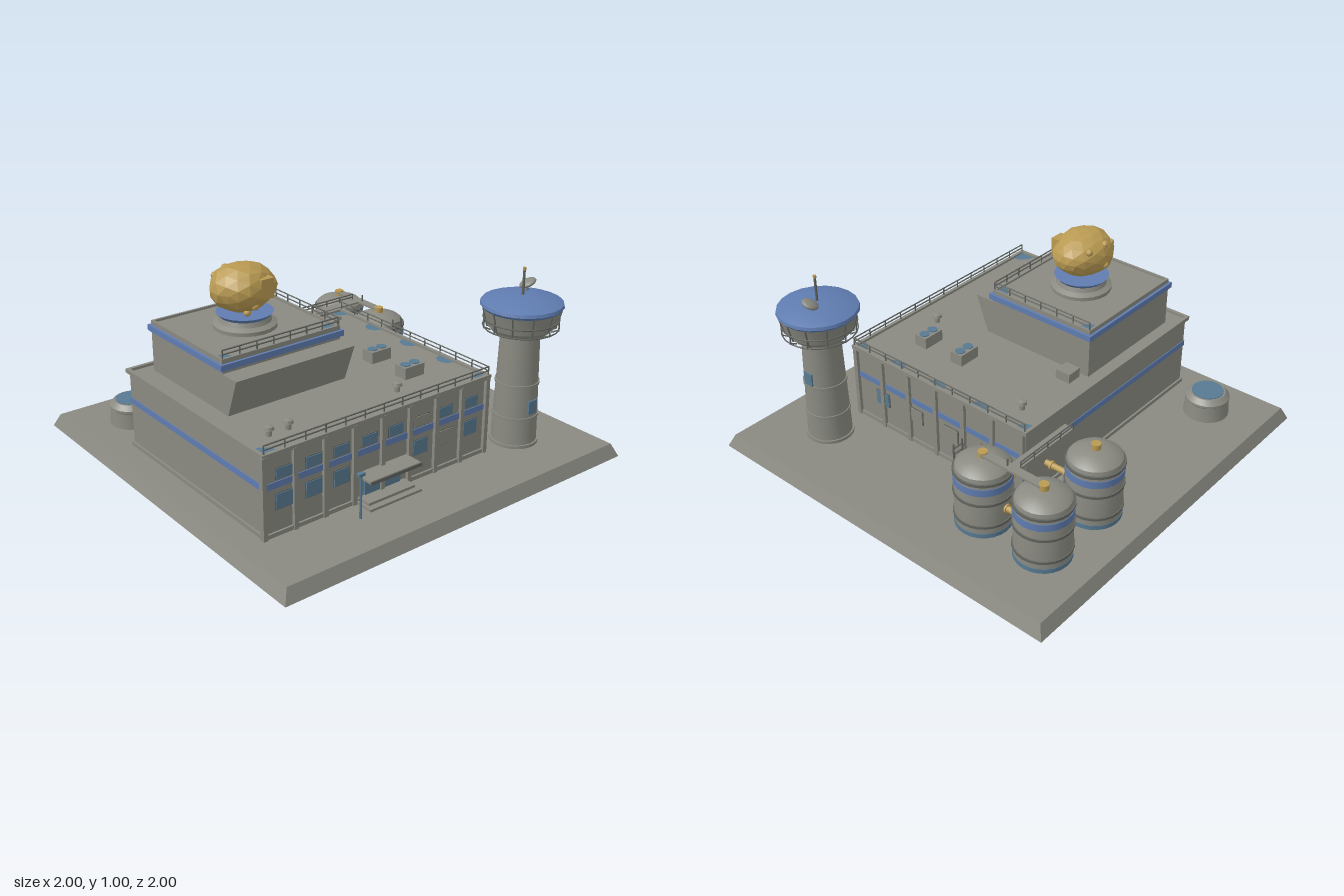
import * as THREE from 'three';
import { toCreasedNormals } from 'three/addons/utils/BufferGeometryUtils.js';

const mat = (name, color) => Object.assign(new THREE.MeshStandardMaterial({ color }), { name });

export function createModel() {
  const root = new THREE.Group();
  root.name = 'outpost';
  const concrete = mat('concrete', 0x8a8a82), trim = mat('dark trim', 0x62645f);
  const blue = mat('blue paint', 0x5f7cb0), glass = mat('blue glass', 0x587a92), gold = mat('gold', 0xb99a52);
  const PI = Math.PI;

  const add = (name, geo, material, x = 0, y = 0, z = 0, parent = root) => {
    const m = new THREE.Mesh(geo, material);
    m.name = name;
    m.position.set(x, y, z);
    parent.add(m);
    return m;
  };
  // box given by its minimum and maximum corners
  const box = (name, material, x0, x1, y0, y1, z0, z1, parent = root) =>
    add(name, new THREE.BoxGeometry(x1 - x0, y1 - y0, z1 - z0), material,
      (x0 + x1) / 2, (y0 + y1) / 2, (z0 + z1) / 2, parent);
  const lathe = (name, material, pts, x, z, parent = root, sides = 24) =>
    add(name, toCreasedNormals(new THREE.LatheGeometry(pts.map(p => new THREE.Vector2(...p)), sides), 0.6),
      material, x, 0, z, parent);
  // closed ring or drum between two heights
  const drum = (name, material, r0, r1, y0, y1, x, z, parent = root, sides = 24) =>
    add(name, new THREE.CylinderGeometry(r1, r0, y1 - y0, sides), material, x, (y0 + y1) / 2, z, parent);
  const rod = (name, material, a, b, r, parent = root, sides = 8) => {
    const p = new THREE.Vector3(...a), d = new THREE.Vector3(...b).sub(p);
    const m = add(name, new THREE.CylinderGeometry(r, r, d.length(), sides), material, 0, 0, 0, parent);
    m.position.copy(p).addScaledVector(d, 0.5);
    m.quaternion.setFromUnitVectors(new THREE.Vector3(0, 1, 0), d.normalize());
    return m;
  };
  // posts with two rails from a to b, standing on height y
  const railing = (name, a, b, y, h, n) => {
    const g = new THREE.Group();
    g.name = name;
    root.add(g);
    for (const k of [0.55, 1]) rod('rail', trim, [a[0], y + h * k, a[1]], [b[0], y + h * k, b[1]], 0.0035, g, 6);
    for (let i = 0; i <= n; i++) {
      const x = a[0] + (b[0] - a[0]) * i / n, z = a[1] + (b[1] - a[1]) * i / n;
      rod('railPost', trim, [x, y, z], [x, y + h, z], 0.0035, g, 6);
    }
  };
  const patch = (x, y, z, r, start, length) => {
    const m = add('roofPatch', new THREE.CircleGeometry(r, 12, start, length), glass, x, y, z);
    m.rotation.x = -PI / 2;
  };
  // low wall around a roof
  const parapet = (x0, x1, y0, y1, z0, z1, t, material) => {
    box('parapetFront', material, x0, x1, y0, y1, z1 - t, z1);
    box('parapetBack', material, x0, x1, y0, y1, z0, z0 + t);
    box('parapetRight', material, x0, x0 + t, y0, y1, z0 + t, z1 - t);
    box('parapetLeft', material, x1 - t, x1, y0, y1, z0 + t, z1 - t);
  };

  // ground slab with sloping sides
  const slab = new THREE.CylinderGeometry(0.97 * Math.SQRT2, Math.SQRT2, 0.065, 4, 1);
  slab.rotateY(PI / 4);
  add('groundSlab', toCreasedNormals(slab, 0.3), concrete, 0, 0.0325, 0);

  // main hall
  box('hallWalls', concrete, -0.84, 0.43, 0.065, 0.452, -0.44, 0.64);
  parapet(-0.853, 0.445, 0.445, 0.465, -0.455, 0.655, 0.018, concrete);
  box('hallStripe', blue, -0.844, 0.434, 0.29, 0.32, -0.444, 0.644);
  box('hallPlinth', concrete, -0.85, 0.44, 0.065, 0.085, -0.45, 0.65);
  for (let i = 0; i < 9; i++) {
    const x = -0.845 + i * 0.159;
    box('frontPilaster', concrete, x - 0.011, x + 0.011, 0.065, 0.452, 0.63, 0.657);
  }
  for (let i = 0; i < 7; i++) {
    const z = 0.635 - i * 0.177;
    box('sidePilaster', concrete, 0.42, 0.447, 0.065, 0.452, z - 0.011, z + 0.011);
  }
  // windows, some shuttered in grey
  [-0.74, -0.585, -0.435, -0.28, -0.13, 0.02, 0.17, 0.33].forEach((x, i) => {
    const rows = [[0.332, 0.38, i === 5], [0.19, 0.262, i === 6]];
    for (const [y0, y1, shut] of rows) {
      if (y0 < 0.2 && (i === 3 || i === 4)) continue;
      box('windowFrame', trim, x - 0.045, x + 0.045, y0 - 0.004, y1 + 0.004, 0.64, 0.644);
      box('frontWindow', shut ? concrete : glass, x - 0.041, x + 0.041, y0, y1, 0.64, 0.648);
    }
  });
  [0.465, 0.24, 0.01, -0.22].forEach((z, i) => {
    box('windowFrame', trim, 0.43, 0.434, 0.186, 0.266, z - 0.045, z + 0.045);
    box('sideWindow', i ? concrete : glass, 0.43, 0.438, 0.19, 0.262, z - 0.041, z + 0.041);
  });

  // entrance: doors, canopy, steps and lamp
  for (const x of [-0.262, -0.145]) box('door', glass, x - 0.045, x + 0.045, 0.085, 0.195, 0.64, 0.648);
  box('canopy', concrete, -0.355, -0.06, 0.2, 0.21, 0.64, 0.745);
  box('canopyEdge', trim, -0.355, -0.06, 0.197, 0.213, 0.741, 0.748);
  box('lowerStep', concrete, -0.355, -0.055, 0.065, 0.077, 0.64, 0.745);
  box('upperStep', concrete, -0.34, -0.07, 0.077, 0.09, 0.64, 0.715);
  rod('lampPost', glass, [-0.42, 0.065, 0.755], [-0.42, 0.28, 0.755], 0.006);
  box('lampHead', glass, -0.437, -0.403, 0.272, 0.286, 0.745, 0.765);

  // upper block with blue cornice and leaning front bay
  box('upperBlock', concrete, -0.742, -0.098, 0.45, 0.655, -0.383, 0.21);
  box('cornice', blue, -0.755, -0.085, 0.655, 0.683, -0.395, 0.222);
  box('upperRoof', concrete, -0.742, -0.098, 0.683, 0.694, -0.382, 0.209);
  parapet(-0.742, -0.098, 0.683, 0.705, -0.382, 0.209, 0.012, concrete);
  const bay = new THREE.Shape([[0.2, 0.452], [0.245, 0.452], [0.315, 0.638], [0.2, 0.638]].map(p => new THREE.Vector2(...p)));
  const bayGeo = new THREE.ExtrudeGeometry(bay, { depth: 0.645, bevelEnabled: false });
  bayGeo.rotateY(-PI / 2);
  add('leaningBay', bayGeo, concrete, -0.0975, 0, 0);

  // roof railings along the front and left edges
  railing('hallFrontRailing', [-0.84, 0.645], [0.435, 0.645], 0.46, 0.044, 12);
  railing('hallSideRailing', [0.435, 0.645], [0.435, -0.44], 0.46, 0.044, 10);
  railing('upperFrontRailing', [-0.735, 0.203], [-0.105, 0.203], 0.7, 0.044, 7);
  railing('upperSideRailing', [-0.105, 0.203], [-0.105, -0.375], 0.7, 0.044, 6);

  // roof patches
  patch(0.427, 0.4545, -0.437, 0.06, PI, PI / 2);
  for (const z of [-0.155, 0.11, 0.375]) patch(0.427, 0.4545, z, 0.05, PI / 2, PI);
  patch(0.427, 0.4545, 0.637, 0.055, PI / 2, PI / 2);
  patch(-0.835, 0.4545, 0.637, 0.075, 0, PI / 2);
  patch(-0.11, 0.6965, -0.37, 0.06, PI, PI / 2);
  patch(-0.11, 0.6965, 0.197, 0.06, PI / 2, PI / 2);
  patch(-0.73, 0.6965, 0.197, 0.06, 0, PI / 2);

  // roof equipment
  box('roofHatch', concrete, -0.075, 0.005, 0.45, 0.5, -0.35, -0.27);
  for (const z of [0.165, 0.4]) {
    box('coolingUnit', concrete, 0.107, 0.224, 0.45, 0.51, z - 0.036, z + 0.036);
    for (const x of [0.138, 0.193]) drum('coolingFan', glass, 0.025, 0.025, 0.51, 0.514, x, z, root, 16);
  }
  for (const [x, z] of [[0.3, -0.31], [-0.71, 0.5], [-0.61, 0.5], [0, 0.5]]) {
    drum('ventPipe', concrete, 0.014, 0.014, 0.45, 0.485, x, z, root, 12);
    lathe('ventCap', concrete, [[0, 0.48], [0.024, 0.48], [0.02, 0.495], [0, 0.502]], x, z, root, 12);
  }

  // pedestal and lumpy golden pod
  lathe('pedestal', concrete, [[0.15, 0.69], [0.15, 0.712], [0.125, 0.725], [0.115, 0.752], [0, 0.752]], -0.42, -0.085);
  drum('pedestalRing', blue, 0.115, 0.134, 0.745, 0.766, -0.42, -0.085);
  const podGeo = new THREE.IcosahedronGeometry(1, 2), pos = podGeo.attributes.position;
  for (let i = 0; i < pos.count; i++) {
    const v = new THREE.Vector3().fromBufferAttribute(pos, i);
    const k = 1 + 0.035 * Math.sin(5.1 * v.x + 2 * v.y) * Math.cos(4.3 * v.z - 3 * v.y);
    const narrow = 1 - 0.12 * v.x; // blunt on one end, narrower on the other
    pos.setXYZ(i, v.x * k * 0.162, v.y * k * narrow * 0.114, v.z * k * narrow * 0.14);
  }
  podGeo.computeVertexNormals();
  add('goldenPod', podGeo, gold, -0.42, 0.884, -0.085);
  box('podPanel', gold, -0.415, -0.345, 0.85, 0.945, -0.02, 0.046);
  for (const [x, y, z, r] of [[-0.515, 0.93, -0.18, 0.018], [-0.45, 0.95, -0.195, 0.018], [-0.34, 0.945, -0.185, 0.018],
    [-0.43, 0.855, -0.215, 0.018], [-0.435, 0.82, 0.02, 0.02], [-0.46, 0.787, -0.005, 0.017]])
    add('podNodule', new THREE.IcosahedronGeometry(r, 1), gold, x, y, z);

  // watch tower
  const tower = new THREE.Group(), tx = 0.64, tz = 0.64;
  tower.name = 'watchTower';
  root.add(tower);
  lathe('towerShaft', concrete, [[0.11, 0.065], [0.106, 0.22], [0.1, 0.4], [0.093, 0.64]], tx, tz, tower);
  for (const [y, r] of [[0.075, 0.118], [0.215, 0.111], [0.38, 0.106], [0.63, 0.103]])
    drum('towerBand', concrete, r, r, y - 0.008, y + 0.008, tx, tz, tower);
  lathe('towerCab', concrete, [[0, 0.637], [0.135, 0.637], [0.15, 0.66], [0.162, 0.665], [0.185, 0.755], [0, 0.755]], tx, tz, tower, 12);
  for (let i = 0; i < 12; i++) {
    const s = Math.sin(i * PI / 6), c = Math.cos(i * PI / 6);
    rod('cabMullion', trim, [tx + s * 0.163, 0.665, tz + c * 0.163], [tx + s * 0.186, 0.755, tz + c * 0.186], 0.004, tower, 6);
    rod('galleryPost', trim, [tx + s * 0.145, 0.645, tz + c * 0.145], [tx + s * 0.178, 0.66, tz + c * 0.178], 0.0035, tower, 6);
    rod('galleryPost', trim, [tx + s * 0.178, 0.655, tz + c * 0.178], [tx + s * 0.178, 0.7, tz + c * 0.178], 0.0035, tower, 6);
  }
  for (const y of [0.658, 0.7]) {
    const ring = add('galleryRail', new THREE.TorusGeometry(0.178, 0.0035, 6, 24), trim, tx, y, tz, tower);
    ring.rotation.x = PI / 2;
  }
  lathe('towerRoof', blue, [[0, 0.752], [0.185, 0.752], [0.196, 0.765], [0.192, 0.78], [0.15, 0.796], [0.09, 0.807], [0, 0.812]], tx, tz, tower, 20);
  rod('antenna', trim, [tx, 0.805, tz], [tx, 0.935, tz], 0.006, tower);
  drum('antennaTip', gold, 0.008, 0.008, 0.93, 0.944, tx, tz, tower, 8);
  rod('dishArm', trim, [0.7, 0.795, 0.61], [0.715, 0.838, 0.6], 0.005, tower);
  const dish = add('dish', new THREE.SphereGeometry(0.042, 16, 10), concrete, 0.716, 0.841, 0.598, tower);
  dish.scale.y = 0.4;
  dish.rotation.set(-0.3, 0, 0.35);
  box('towerFrontWindow', glass, tx - 0.026, tx + 0.026, 0.24, 0.308, 0.735, 0.75, tower);
  box('towerSideWindow', glass, 0.73, 0.744, 0.39, 0.457, tz - 0.026, tz + 0.026, tower);

  // storage tanks
  for (const [x, z] of [[0.28, -0.715], [0.64, -0.715], [0.64, -0.375]]) {
    const tank = new THREE.Group();
    tank.name = 'storageTank';
    root.add(tank);
    lathe('tankShell', concrete, [[0.132, 0.065], [0.132, 0.355], [0.125, 0.383], [0.105, 0.4], [0.06, 0.416], [0, 0.422]], x, z, tank);
    drum('tankFoot', glass, 0.134, 0.134, 0.065, 0.088, x, z, tank);
    drum('tankStripe', blue, 0.135, 0.135, 0.3, 0.336, x, z, tank);
    for (const y of [0.125, 0.248, 0.358]) drum('tankHoop', trim, 0.138, 0.138, y - 0.006, y + 0.006, x, z, tank);
    drum('tankCap', gold, 0.023, 0.023, 0.41, 0.447, x, z, tank, 12);
  }
  // ladder on the front tank
  for (const x of [0.612, 0.668]) rod('ladderSide', trim, [x, 0.065, -0.228], [x, 0.425, -0.228], 0.0045);
  for (let i = 0; i < 11; i++) rod('ladderRung', trim, [0.612, 0.09 + i * 0.031, -0.228], [0.668, 0.09 + i * 0.031, -0.228], 0.0035);

  // catwalk over the tanks
  box('tankCatwalk', concrete, 0.618, 0.662, 0.43, 0.44, -0.715, -0.375);
  box('crossCatwalk', concrete, 0.25, 0.662, 0.43, 0.44, -0.57, -0.518);
  railing('catwalkRailing', [0.255, -0.568], [0.615, -0.568], 0.435, 0.035, 4);
  rod('catwalkPost', trim, [0.64, 0.435, -0.515], [0.64, 0.475, -0.515], 0.004);

  // gold pipes with flanges
  for (const [a, b] of [[[0.28, 0.2, -0.6], [0.28, 0.2, -0.44]], [[0.52, 0.2, -0.375], [0.43, 0.2, -0.375]],
    [[0.64, 0.2, -0.6], [0.64, 0.2, -0.49]]]) {
    rod('pipe', gold, a, b, 0.015, root, 12);
    const p = new THREE.Vector3(...a), q = new THREE.Vector3(...b), at = t => p.clone().lerp(q, t).toArray();
    for (const t of [0.2, 0.75]) rod('pipeFlange', gold, at(t), at(t + 0.08), 0.022, root, 12);
  }
  box('valveBox', gold, 0.43, 0.458, 0.18, 0.22, -0.265, -0.205);

  // small round basin at the back
  lathe('basin', concrete, [[0.114, 0.065], [0.107, 0.145], [0.112, 0.15], [0.112, 0.162], [0.09, 0.186], [0, 0.186]], -0.71, -0.685);
  drum('basinLid', glass, 0.08, 0.08, 0.18, 0.19, -0.71, -0.685);
  return root;
}
